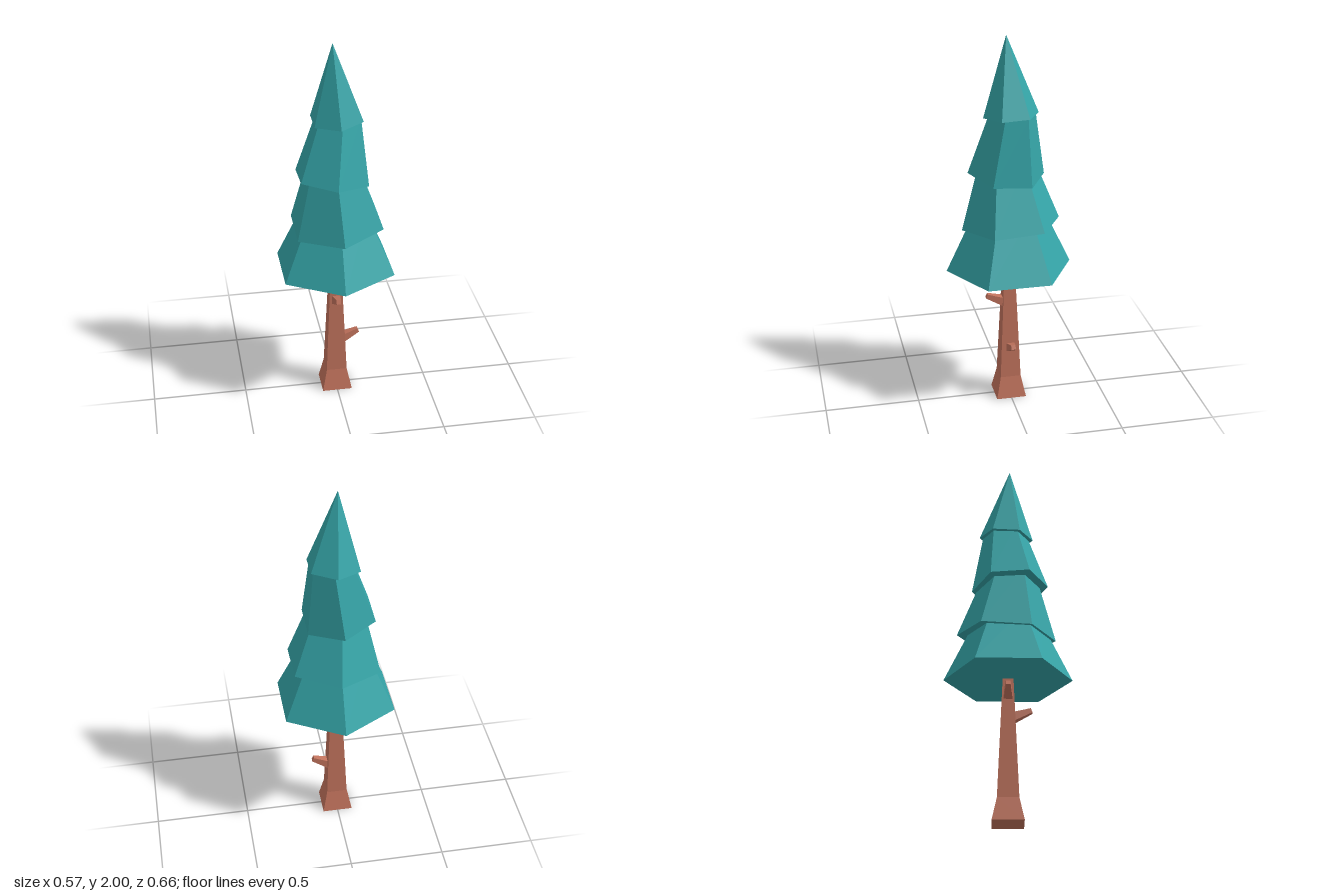
import * as THREE from 'three';

const leafMat = new THREE.MeshStandardMaterial({ color: 0x35a5a8, flatShading: true });
const barkMat = new THREE.MeshStandardMaterial({ color: 0xc0725c, flatShading: true });
const UP = new THREE.Vector3(0, 1, 0);

// Tapered prism that starts at `base` and grows along `axis`
function taper(name, material, sides, rBase, rTip, height, base, axis, turn = 0) {
  const geometry = rTip > 0
    ? new THREE.CylinderGeometry(rTip, rBase, height, sides)
    : new THREE.ConeGeometry(rBase, height, sides);
  geometry.rotateY(turn).translate(0, height / 2, 0);
  const mesh = new THREE.Mesh(geometry, material);
  mesh.name = name;
  mesh.position.set(...base);
  mesh.quaternion.setFromUnitVectors(UP, new THREE.Vector3(...axis).normalize());
  return mesh;
}

export function createModel() {
  const tree = new THREE.Group();
  tree.name = 'pineTree';

  // Square trunk with a flared foot: [half width, height]
  const profile = [[0, 0], [0.08, 0], [0.055, 0.12], [0.026, 0.8], [0, 0.8]]
    .map(([w, y]) => new THREE.Vector2(w * Math.SQRT2, y));
  const trunk = new THREE.Mesh(new THREE.LatheGeometry(profile, 4, Math.PI / 4), barkMat);
  trunk.name = 'trunk';
  tree.add(trunk);

  // Broken branch stubs: [name, base, axis]
  const stubs = [
    ['leftBranch', [0.03, 0.29, 0], [0.09, 0.042, 0]],
    ['rightBranch', [-0.015, 0.664, 0], [-0.09, 0.036, 0]],
    ['frontBranch', [0, 0.554, 0.022], [0, 0.036, 0.09]],
  ];
  for (const [name, base, axis] of stubs) {
    tree.add(taper(name, barkMat, 4, 0.024 * Math.SQRT2, 0.012 * Math.SQRT2, 0.105, base, axis, Math.PI / 4));
  }

  // Six-sided foliage tiers, each tilted a little: [rBase, rTip, height, base, axis]
  const tiers = [
    [0.331, 0.17, 0.34, [0, 0.76, 0], [0, 1, 0]],
    [0.258, 0.14, 0.35, [0.01, 1.004, -0.009], [-0.07, 1, 0.06]],
    [0.201, 0.117, 0.345, [-0.018, 1.275, 0.01], [0.12, 1, -0.08]],
    [0.143, 0, 0.408, [0.01, 1.593, -0.01], [-0.06, 1, 0.047]],
  ];
  tiers.forEach(([rBase, rTip, height, base, axis], i) => {
    tree.add(taper(`foliageTier${i + 1}`, leafMat, 6, rBase, rTip, height, base, axis));
  });

  return tree;
}
